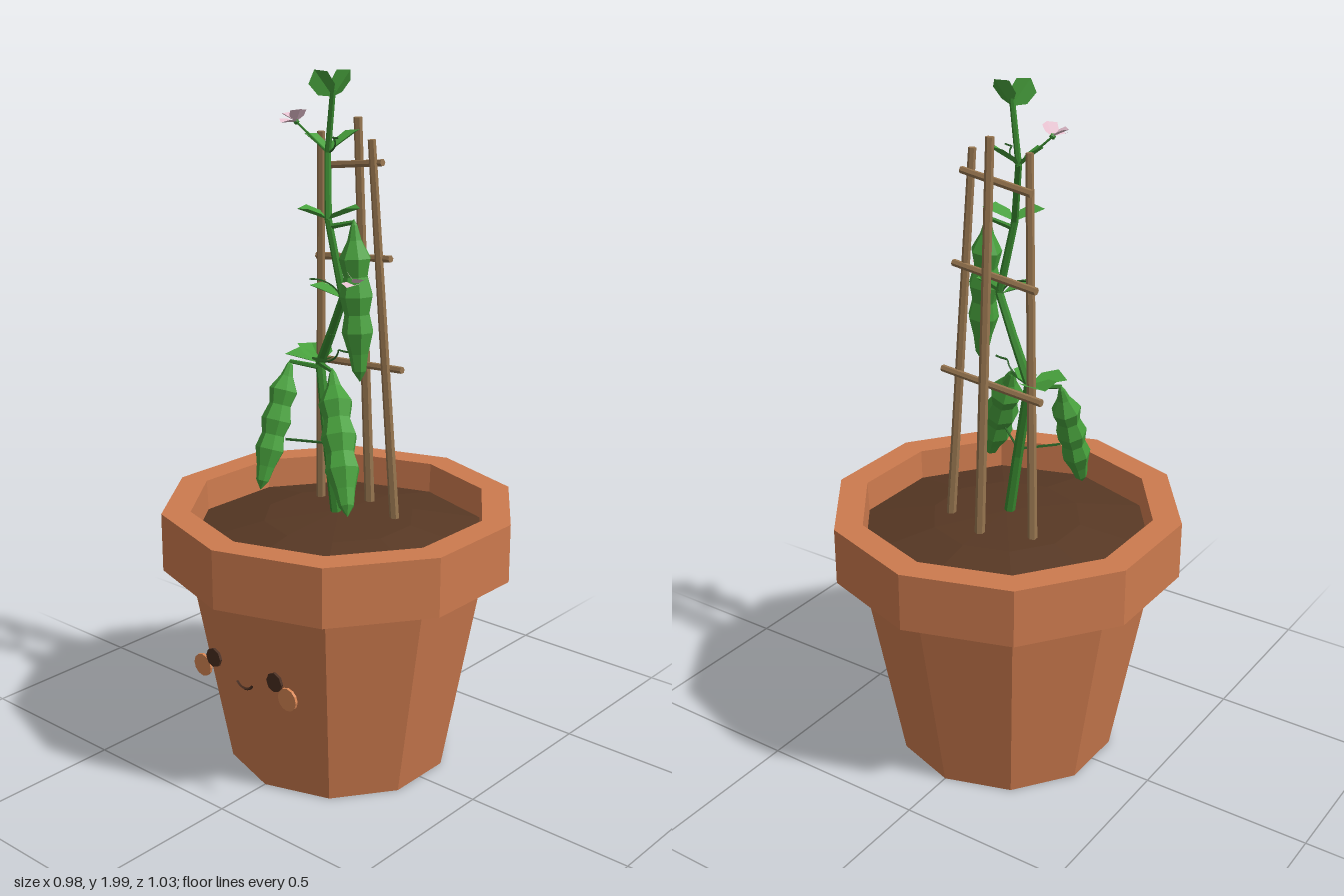
import * as THREE from 'three';

const mat = (name, color, extra = {}) => {
  const m = new THREE.MeshStandardMaterial({ color, flatShading: true, ...extra });
  m.name = name;
  return m;
};
const V = (p) => new THREE.Vector3(...p);
const UP = new THREE.Vector3(0, 1, 0);

export function createModel() {
  const model = new THREE.Group();
  const terracotta = mat('terracotta', 0xcc7a4e);
  const soilBrown = mat('soil brown', 0x573824);
  const wood = mat('cane wood', 0x96754f);
  const stemGreen = mat('stem green', 0x38872f);
  const leafGreen = mat('leaf green', 0x47a03c, { side: THREE.DoubleSide });
  const podGreen = mat('pod green', 0x47a03c);
  const tendrilGreen = mat('tendril green', 0x2c6428);
  const petalPink = mat('petal pink', 0xe6c0cf, { side: THREE.DoubleSide });
  const faceDark = mat('face dark', 0x4a2e20, { side: THREE.DoubleSide });
  const blush = mat('cheek blush', 0xd98755, { side: THREE.DoubleSide });

  const add = (name, geo, material, parent = model) => {
    const m = new THREE.Mesh(geo, material);
    m.name = name;
    parent.add(m);
    return m;
  };
  // Tapered rod between two points
  const rod = (name, a, b, ra, rb, material, sides = 6) => {
    const A = V(a), B = V(b), d = B.clone().sub(A);
    const m = add(name, new THREE.CylinderGeometry(rb, ra, d.length(), sides), material);
    m.position.copy(A).add(B).multiplyScalar(0.5);
    m.quaternion.setFromUnitVectors(UP, d.normalize());
    return m;
  };
  const lathe = (pts, sides) =>
    new THREE.LatheGeometry(pts.map(([r, y]) => new THREE.Vector2(r, y)), sides);

  // Ten-sided pot with a heavy rim, and mounded soil
  add('pot', lathe([[0, 0], [0.325, 0], [0.436, 0.61], [0.513, 0.61], [0.513, 0.78],
    [0.43, 0.78], [0.425, 0.66]], 10), terracotta);
  add('soil', lathe([[0.428, 0.69], [0.22, 0.735], [0, 0.75]], 10), soilBrown);

  // Face: flat discs and a small smile just ahead of the front edge
  for (const s of [-1, 1]) {
    const eye = add('eye', new THREE.CylinderGeometry(0.028, 0.028, 0.008, 8), faceDark);
    eye.position.set(s * 0.117, 0.392, 0.402);
    const cheek = add('cheek', new THREE.CylinderGeometry(0.033, 0.033, 0.008, 12), blush);
    cheek.position.set(s * 0.163, 0.355, 0.4);
    eye.rotation.x = cheek.rotation.x = Math.PI / 2;
  }
  const smile = add('smile', new THREE.TorusGeometry(0.036, 0.004, 4, 8, Math.PI * 0.6), faceDark);
  smile.position.set(0, 0.37, 0.4);
  smile.rotation.z = Math.PI * 1.2;

  // Cane trellis
  rod('leftCane', [0.142, 0.71, -0.08], [0.09, 1.81, -0.028], 0.014, 0.011, wood);
  rod('rightCane', [-0.142, 0.71, -0.08], [-0.09, 1.82, -0.028], 0.014, 0.011, wood);
  rod('backCane', [0, 0.71, -0.138], [0, 1.86, -0.077], 0.015, 0.012, wood);
  [[0.17, 1.16, 1.182, -0.085, -0.07], [0.14, 1.466, 1.492, -0.068, -0.052],
    [0.117, 1.723, 1.75, -0.058, -0.042]].forEach(([x, y0, y1, z0, z1]) =>
    rod('crossCane', [-x, y0, z0], [x, y1, z1], 0.011, 0.01, wood));

  // Zigzag main stem
  const path = [[0, 0.72, 0.01], [-0.03, 0.93, 0.012], [-0.085, 1.17, -0.015], [-0.01, 1.28, 0.02],
    [0.06, 1.39, 0.053], [0.015, 1.6, 0.062], [-0.028, 1.77, 0.015], [0, 1.94, 0.025]];
  for (let i = 0; i < path.length - 1; i++) {
    const r = 0.016 - i * 0.0012;
    rod('stem', path[i], path[i + 1], r, r - 0.001, stemGreen);
    const node = add('stemNode', new THREE.IcosahedronGeometry(r, 0), stemGreen);
    node.position.set(...path[i]);
  }
  // Side shoots carrying pods and flowers
  [[[-0.08, 1.16, -0.01], [-0.165, 1.17, 0.025]], [[-0.08, 1.17, -0.01], [0.008, 1.17, 0.035]],
    [[0.015, 1.58, 0.06], [0.095, 1.6, 0.05]], [[0.06, 1.39, 0.053], [0.125, 1.44, 0.075]],
    [[-0.028, 1.77, 0.015], [-0.11, 1.85, 0.05]]].forEach(([a, b], i) =>
    rod('shoot', a, b, i < 3 ? 0.008 : 0.004, i < 3 ? 0.006 : 0.003, stemGreen, 5));

  // Swollen pods, profile swept round and hung from stalk to tip
  const bumps = [[0, 0], [0.2, 0.04], [0.42, 0.13], [0.95, 0.24], [0.72, 0.35], [1, 0.47],
    [0.75, 0.58], [0.95, 0.69], [0.6, 0.82], [0.42, 0.93], [0, 1]];
  const pod = (a, b, r) => {
    const d = V(b).sub(V(a)), len = d.length();
    const pts = bumps.map(([w, t]) => [w * r, -t * len]).reverse();
    const m = add('pod', lathe(pts, 7), podGreen);
    m.position.set(...a);
    m.quaternion.setFromUnitVectors(new THREE.Vector3(0, -1, 0), d.normalize());
  };
  pod([-0.165, 1.175, 0.02], [-0.155, 0.82, 0.165], 0.045);
  pod([0, 1.18, 0.03], [0.178, 0.82, 0.17], 0.052);
  pod([0.095, 1.61, 0.05], [0.132, 1.17, 0.066], 0.047);

  // Folded blade: two halves raised on either side of the midrib
  const blade = (name, a, b, w, up, material) => {
    const A = V(a), B = V(b), d = B.clone().sub(A);
    const side = d.clone().cross(V(up)).normalize();
    const n = side.clone().cross(d).normalize();
    const at = (t, s) => A.clone().addScaledVector(d, t)
      .addScaledVector(side, s * w).addScaledVector(n, Math.abs(s) * w * 0.35);
    const pts = [A, B];
    const idx = [];
    for (const s of [-1, 1]) {
      const k = pts.length;
      pts.push(at(0.3, s * 0.9), at(0.75, s));
      idx.push(...(s > 0 ? [0, k, k + 1, 0, k + 1, 1] : [0, k + 1, k, 0, 1, k + 1]));
    }
    const g = new THREE.BufferGeometry().setFromPoints(pts);
    g.setIndex(idx);
    g.computeVertexNormals();
    add(name, g, material);
  };
  const up = [0, 1, 0], front = [0, 0.5, 1];
  [
    [[0, 1.92, 0.025], [-0.035, 1.99, 0.06], 0.032, front],
    [[0, 1.92, 0.025], [0.035, 1.99, -0.005], 0.032, front],
    [[-0.028, 1.77, 0.015], [-0.09, 1.82, 0.04], 0.035, up],
    [[-0.028, 1.77, 0.015], [0.02, 1.83, -0.06], 0.035, up],
    [[0.015, 1.6, 0.062], [-0.045, 1.63, 0.12], 0.04, up],
    [[0.015, 1.6, 0.062], [0.1, 1.635, 0.03], 0.04, up],
    [[0.05, 1.39, 0.053], [-0.03, 1.42, 0.09], 0.035, up],
    [[0.06, 1.39, 0.053], [0.1, 1.44, 0], 0.035, up],
    [[-0.085, 1.17, -0.015], [-0.185, 1.2, -0.09], 0.048, up],
    [[-0.085, 1.17, -0.015], [-0.18, 1.19, 0.03], 0.048, up],
    [[-0.085, 1.17, -0.015], [-0.03, 1.2, 0.03], 0.03, up],
  ].forEach(([a, b, w, u]) => blade('leaf', a, b, w, u, leafGreen));

  // Small pale flowers
  for (const [x, y, z, s] of [[-0.11, 1.85, 0.05, -1], [0.125, 1.44, 0.075, 1]]) {
    const base = [x, y, z];
    [[0.04, 0.02, 0.015], [-0.025, 0.035, 0.01], [0.01, 0.0, 0.05]].forEach(([dx, dy, dz]) =>
      blade('petal', base, [x + s * dx, y + dy, z + dz], 0.024, up, petalPink));
    const bud = add('flowerBase', new THREE.IcosahedronGeometry(0.009, 0), stemGreen);
    bud.position.set(...base);
  }

  // Thin curling tendrils
  const tendril = (a, dx, dz) => {
    const pts = [a];
    for (let i = 1; i <= 9; i++) {
      const t = i / 9, q = t * 6;
      pts.push([a[0] + dx * t + 0.014 * Math.sin(q), a[1] + 0.045 * t + 0.014 * (1 - Math.cos(q)) * 0.6,
        a[2] + dz * t]);
    }
    add('tendril', new THREE.TubeGeometry(new THREE.CatmullRomCurve3(pts.map(V)), 18, 0.003, 4), tendrilGreen);
  };
  tendril([-0.06, 1.18, -0.01], 0.1, 0.01);
  tendril([0.05, 1.39, 0.05], -0.085, 0.03);
  tendril([-0.028, 1.77, 0.015], 0.06, 0.02);
  rod('tendril', [-0.125, 0.96, 0.09], [-0.03, 0.95, 0.015], 0.004, 0.004, tendrilGreen, 4);
  rod('tendril', [-0.03, 0.95, 0.015], [0.045, 0.98, 0.06], 0.004, 0.003, tendrilGreen, 4);

  return model;
}
